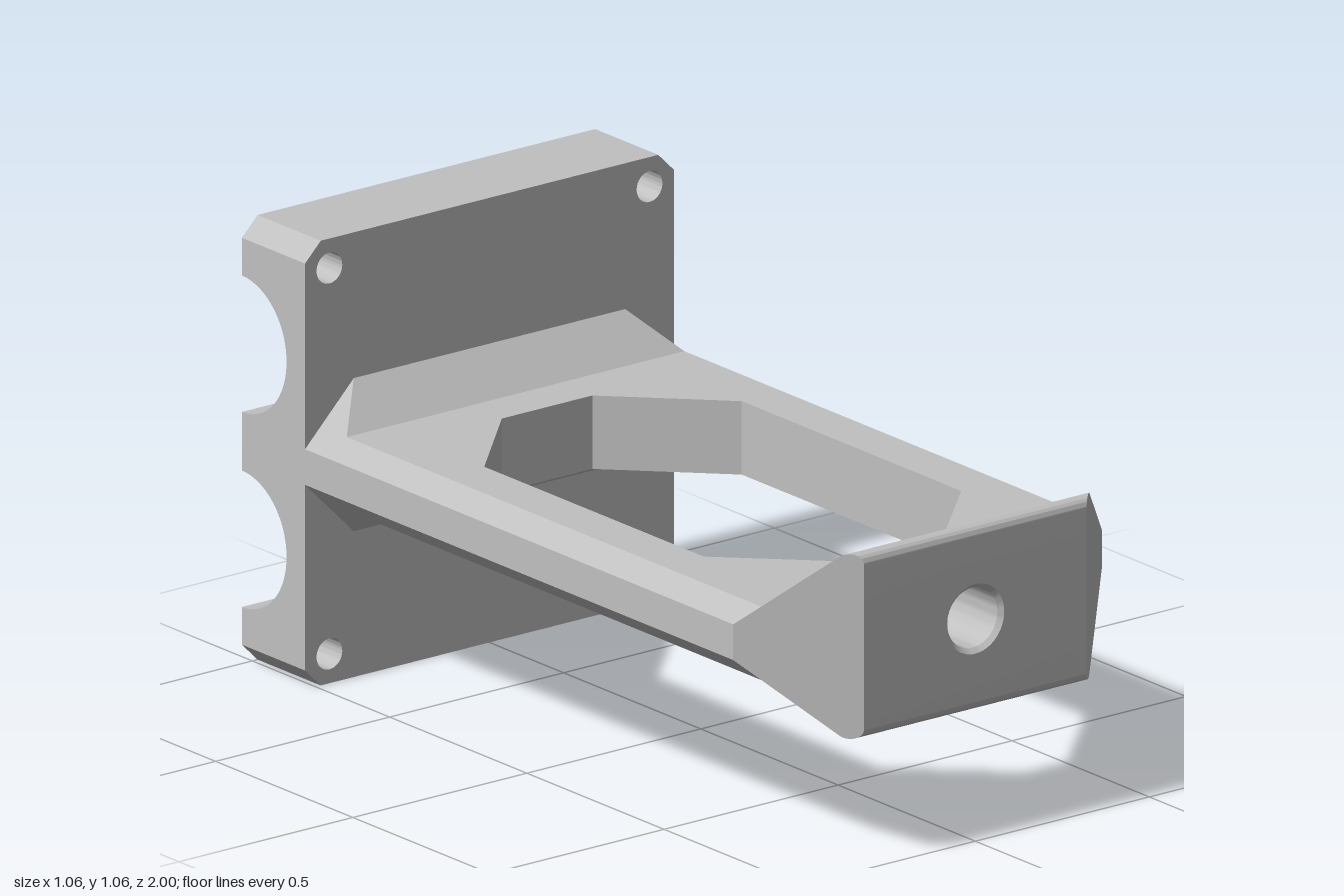
import * as THREE from 'three';
import { toCreasedNormals } from 'three/addons/utils/BufferGeometryUtils.js';

const TURN = Math.PI;

export function createModel() {
  const model = new THREE.Group();
  model.name = 'bracket';
  // everything is symmetric about the beam's middle plane, at y = 0.53
  const body = new THREE.Group();
  body.name = 'body';
  body.position.y = 0.53;
  model.add(body);

  const grey = new THREE.MeshStandardMaterial({ color: 0xc0c0c0 });
  grey.name = 'light grey';
  const greyInside = new THREE.MeshStandardMaterial({ color: 0xc0c0c0, side: THREE.DoubleSide });
  greyInside.name = 'light grey open surface';

  const polygon = (pts) => new THREE.Shape(pts.map(([x, y]) => new THREE.Vector2(x, y)));
  const hole = (shape, x, y, r) => shape.holes.push(new THREE.Path().absarc(x, y, r, 0, TURN * 2, true));
  const extrude = (shape, depth) =>
    new THREE.ExtrudeGeometry(shape, { depth, bevelEnabled: false, curveSegments: 32 });
  // profile drawn in (z, y), extruded across x and centred
  const extrudeX = (shape, width) => extrude(shape, width).translate(0, 0, -width / 2).rotateY(-TURN / 2);
  // move every vertex by a rule
  const reshape = (geo, rule) => {
    const p = geo.attributes.position;
    const v = new THREE.Vector3();
    for (let i = 0; i < p.count; i++) {
      rule(v.fromBufferAttribute(p, i));
      p.setXYZ(i, v.x, v.y, v.z);
    }
    return geo;
  };
  const add = (name, geo, material = grey) => {
    const mesh = new THREE.Mesh(toCreasedNormals(geo, 0.5), material);
    mesh.name = name;
    body.add(mesh);
    return mesh;
  };
  // the part and its copy turned half round the long axis
  const addPair = (nameA, nameB, geo) => {
    add(nameA, geo);
    add(nameB, geo).rotation.z = TURN;
  };

  // clamp plate: middle with two half-round grooves
  const R = 0.1625;
  const grooves = new THREE.Shape();
  grooves.moveTo(-1, -0.395);
  grooves.lineTo(-0.77, -0.395);
  grooves.lineTo(-0.77, 0.395);
  grooves.lineTo(-1, 0.395);
  for (const y of [0.2325, -0.2325]) grooves.absarc(-1, y, R, TURN / 2, -TURN / 2, true);
  add('groovedPlate', extrudeX(grooves, 1.06));

  // clamp plate: edge strips with cut corners and screw holes
  const strip = polygon([[-0.53, 0.395], [0.53, 0.395], [0.53, 0.485], [0.485, 0.53], [-0.485, 0.53], [-0.53, 0.485]]);
  for (const x of [-0.46, 0.46]) hole(strip, x, 0.46, 0.037);
  addPair('plateTopStrip', 'plateBottomStrip', extrude(strip, 0.23).translate(0, 0, -1));

  // beam frame around the eight-sided opening, in plan (x, z)
  const half = [[0.485, -0.77], [0.485, 0.835], [0.32, 1], [0.13, 1], [0.13, 0.715], [0.37, 0.48], [0.37, -0.32], [0.13, -0.56]];
  const frame = polygon([...half, ...half.map(([x, z]) => [-x, z]).reverse()]);
  add('beamFrame', extrude(frame, 0.175).translate(0, 0, -0.0875).rotateX(TURN / 2));

  // chamfered beam sides, cut at 45 degrees at the front
  const side = polygon([[0.485, -0.0875], [0.53, -0.0425], [0.53, 0.0425], [0.485, 0.0875]]);
  addPair('leftBeamSide', 'rightBeamSide', reshape(extrude(side, 1), (v) => {
    v.z = v.z > 0.5 ? 1.32 - v.x : -0.77;
  }));

  // gussets between beam and plate
  const gusset = polygon([[-0.77, 0.0875], [-0.675, 0.0875], [-0.77, 0.1825]]);
  addPair('topGusset', 'bottomGusset', reshape(extrudeX(gusset, 1), (v) => {
    v.x = Math.sign(v.x) * (0.5725 - v.y);
  }));

  // flared head with rounded lips and slanted ends
  const flare = new THREE.Shape();
  flare.moveTo(0.835, 0.0875);
  flare.lineTo(1, 0.0875);
  flare.lineTo(1, 0.197);
  flare.absarc(0.977, 0.197, 0.023, 0, TURN * 0.75, false);
  flare.closePath();
  addPair('headUpperFlare', 'headLowerFlare', reshape(extrudeX(flare, 1), (v) => {
    v.x = Math.sign(v.x) * (1.32 - v.z);
  }));

  // bored block in the middle of the head, with a countersunk front
  const bored = (r, z0, z1) => {
    const s = polygon([[-0.13, -0.0875], [0.13, -0.0875], [0.13, 0.0875], [-0.13, 0.0875]]);
    hole(s, 0, 0, r);
    return extrude(s, z1 - z0).translate(0, 0, z0);
  };
  add('boreBlock', bored(0.072, 0.715, 0.989));
  add('boreFront', bored(0.083, 0.989, 1));
  add('countersink', new THREE.CylinderGeometry(0.083, 0.072, 0.011, 64, 1, true)
    .rotateX(TURN / 2).translate(0, 0, 0.9945), greyInside);

  return model;
}
